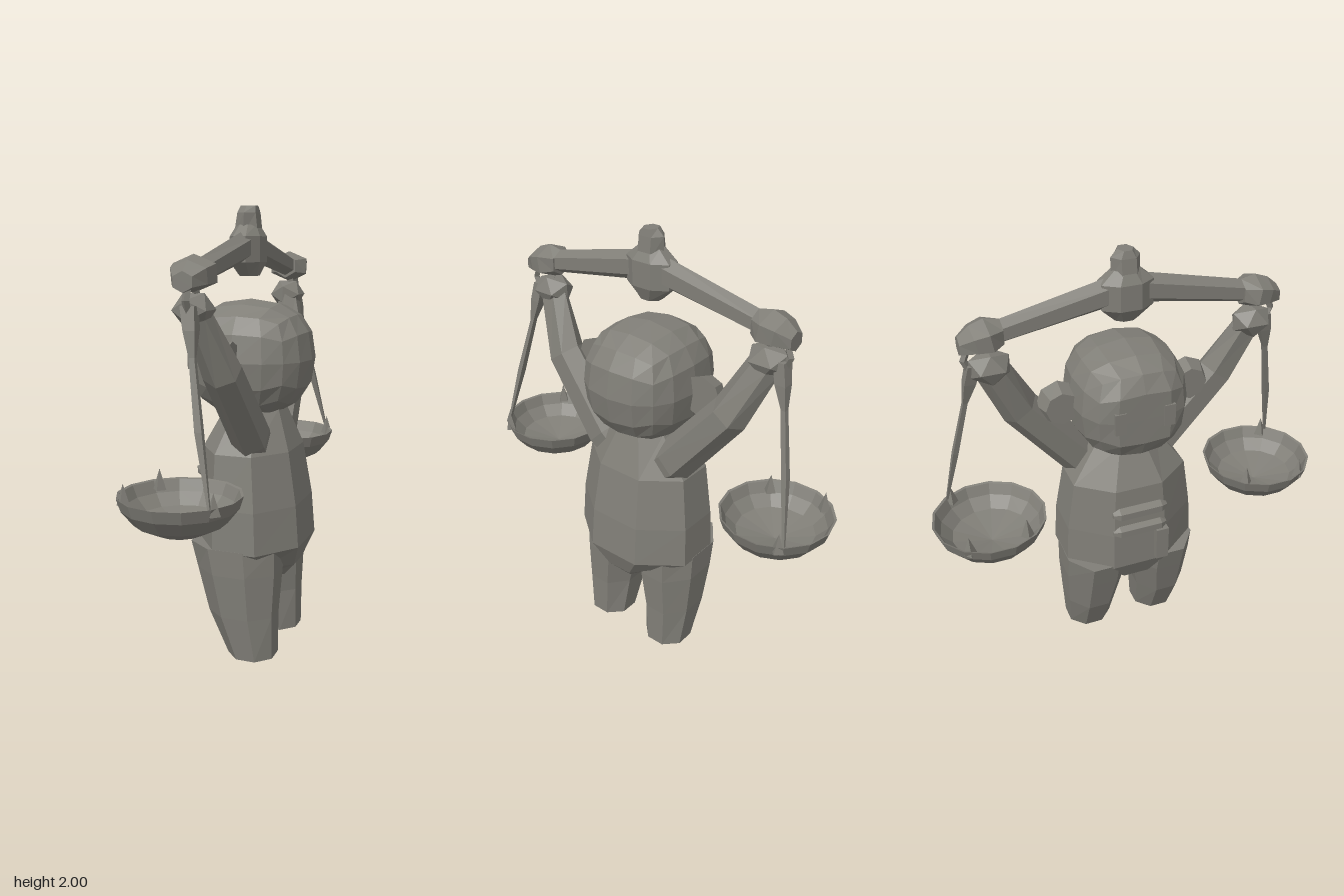
import * as THREE from 'three';

const color = 0x807e77;
const mat = new THREE.MeshStandardMaterial({ color, flatShading: true });
const matDouble = new THREE.MeshStandardMaterial({ color, flatShading: true, side: THREE.DoubleSide });
const V = (a) => new THREE.Vector3(...a);

// Closed faceted skin through elliptical sections [centre, axisU, axisV]
function loft(sections, sides = 8) {
  const secs = sections.map((s) => s.map(V));
  const top = secs.length - 1;
  const along = secs[top][0].clone().sub(secs[0][0]);
  const flip = secs[0][1].clone().cross(secs[0][2]).dot(along) < 0 ? -1 : 1;
  const k = 1 / Math.cos(Math.PI / sides);
  const rings = secs.map(([c, u, v]) => Array.from({ length: sides }, (_, i) => {
    const a = ((i + 0.5) / sides) * Math.PI * 2;
    return c.clone().addScaledVector(u, k * Math.cos(a)).addScaledVector(v, flip * k * Math.sin(a));
  }));
  const pts = [];
  for (let i = 0; i < sides; i++) {
    const j = (i + 1) % sides;
    for (let r = 0; r < top; r++) {
      const [a, b, c, d] = [rings[r][i], rings[r][j], rings[r + 1][j], rings[r + 1][i]];
      pts.push(a, b, c, a, c, d);
    }
    pts.push(secs[0][0], rings[0][j], rings[0][i], secs[top][0], rings[top][i], rings[top][j]);
  }
  const g = new THREE.BufferGeometry().setFromPoints(pts);
  g.computeVertexNormals();
  return g;
}

// Horizontal section from x and z limits at height y
const level = (y, x0, x1, z0, z1) =>
  [[(x0 + x1) / 2, y, (z0 + z1) / 2], [(x1 - x0) / 2, 0, 0], [0, 0, (z1 - z0) / 2]];

export function createModel() {
  const model = new THREE.Group();
  const add = (name, geo, pos = [0, 0, 0], m = mat) => {
    const mesh = new THREE.Mesh(geo, m);
    mesh.name = name;
    mesh.position.set(...pos);
    model.add(mesh);
    return mesh;
  };

  // Torso, narrowing to the crotch and the neck
  add('torso', loft([
    level(0.33, -0.08, 0.18, -0.04, 0.04), level(0.4, -0.15, 0.24, -0.15, 0.15),
    level(0.51, -0.2, 0.28, -0.315, 0.315), level(0.7, -0.195, 0.265, -0.305, 0.305),
    level(0.94, -0.18, 0.225, -0.27, 0.27), level(1.12, -0.09, 0.16, -0.14, 0.14),
  ]));

  // Head: a cube swollen towards a sphere, with a flattened face at -x
  const headGeo = new THREE.BoxGeometry(2, 2, 2, 4, 4, 4);
  const p = headGeo.attributes.position;
  const v = new THREE.Vector3();
  const e = 2.4;
  for (let i = 0; i < p.count; i++) {
    v.fromBufferAttribute(p, i);
    v.divideScalar((Math.abs(v.x) ** e + Math.abs(v.y) ** e + Math.abs(v.z) ** e) ** (1 / e));
    p.setXYZ(i, Math.max(v.x * 0.285, -0.25), v.y * 0.26, v.z * 0.258);
  }
  headGeo.computeVertexNormals();
  add('head', headGeo, [0.01, 1.34, 0]);

  // Two bars across the chest and a small patch below them
  for (const y of [0.72, 0.82]) {
    add('chestBar', loft([
      [[-0.185, y, -0.13], [0.015, 0, 0], [0, 0.012, 0]],
      [[-0.188, y, -0.1], [0.03, 0, 0], [0, 0.028, 0]],
      [[-0.188, y, 0.1], [0.03, 0, 0], [0, 0.028, 0]],
      [[-0.185, y, 0.13], [0.015, 0, 0], [0, 0.012, 0]],
    ], 6));
  }
  add('bellyPatch', new THREE.BoxGeometry(0.05, 0.17, 0.06), [-0.205, 0.62, 0.1]);

  // Balance beam: central boss and stub
  add('beamBoss', loft([
    level(1.7, -0.04, 0.04, -0.05, 0.05), level(1.76, -0.075, 0.065, -0.112, 0.112),
    level(1.87, -0.075, 0.065, -0.112, 0.112), level(1.92, -0.05, 0.04, -0.055, 0.055),
  ]));
  add('beamStub', loft([
    level(1.88, -0.06, 0.05, -0.055, 0.055), level(1.97, -0.045, 0.04, -0.055, 0.055),
    level(2.0, -0.035, 0.035, -0.03, 0.03),
  ], 6));

  for (const s of [1, -1]) {
    // Section centred at (x, y, z): half width in x, half width (dy, dz) in the yz plane
    const sec = (x, y, z, w, dy, dz) => [[x, y, s * z], [w, 0, 0], [0, dy, s * dz]];

    add('leg', loft([
      level(0, -0.02, 0.19, s * 0.075, s * 0.285), level(0.2, -0.11, 0.19, s * 0.055, s * 0.303),
      level(0.4, -0.165, 0.2, s * 0.015, s * 0.316), level(0.52, -0.197, 0.2, s * 0.015, s * 0.316),
    ]));

    add('arm', loft([
      sec(0.08, 0.93, 0.11, 0.06, 0.05, -0.05), sec(0.08, 1.015, 0.2, 0.075, 0.06, -0.06),
      sec(0.055, 1.33, 0.46, 0.07, 0.044, -0.062), sec(0, 1.57, 0.575, 0.045, 0.02, -0.06),
    ], 6));
    const hand = add('hand', new THREE.IcosahedronGeometry(0.085, 0), [-0.01, 1.59, s * 0.585]);
    hand.scale.set(1, 0.9, 1.15);

    const ear = add('ear', new THREE.CylinderGeometry(0.075, 0.1, 0.075, 8), [-0.003, 1.34, s * 0.297]);
    ear.rotation.z = Math.PI / 2;
    add('eye', new THREE.BoxGeometry(0.03, 0.1, 0.05), [-0.23, 1.34, s * 0.11]);

    add('beamArm', loft([
      sec(-0.005, 1.83, 0.05, 0.045, 0.055, 0.012), sec(-0.005, 1.73, 0.56, 0.042, 0.042, 0.01),
    ], 6));
    add('beamEnd', loft([
      sec(-0.005, 1.73, 0.525, 0.05, 0.05, 0), sec(-0.005, 1.73, 0.58, 0.09, 0.062, 0.01),
      sec(-0.005, 1.72, 0.64, 0.075, 0.052, 0.01), sec(-0.005, 1.7, 0.7, 0.04, 0.035, 0),
    ], 6));

    // Hanging ring between beam end and hand
    const ring = add('hangingRing', new THREE.TorusGeometry(0.055, 0.016, 4, 8), [0, 1.63, s * 0.63]);
    ring.rotation.y = Math.PI / 2;

    // Single cord falling to the rim of the pan
    add('cord', loft([
      sec(0, 1.61, 0.65, 0.03, 0, 0.025), sec(0.015, 1.52, 0.67, 0.025, 0, 0.025),
      sec(0.03, 1.42, 0.695, 0.012, 0, 0.01), sec(0.08, 1.15, 0.755, 0.015, 0, 0.012),
      sec(0.14, 0.87, 0.81, 0.005, 0, 0.005),
    ], 4));

    // Hollow pan
    const pan = [[0.001, 0.705], [0.1, 0.715], [0.19, 0.76], [0.238, 0.82], [0.255, 0.872],
      [0.245, 0.868], [0.223, 0.82], [0.175, 0.772], [0.001, 0.73]];
    add('pan', new THREE.LatheGeometry(pan.map((q) => new THREE.Vector2(...q)), 14),
      [-0.047, 0, s * 0.66], matDouble);

    // Cord stubs on the pan rim
    for (const [x, z] of [[0.15, 0.79], [-0.23, 0.79], [-0.2, 0.53]]) {
      add('cordStub', new THREE.ConeGeometry(0.03, 0.09, 4), [x, 0.885, s * z]);
    }
  }
  return model;
}
